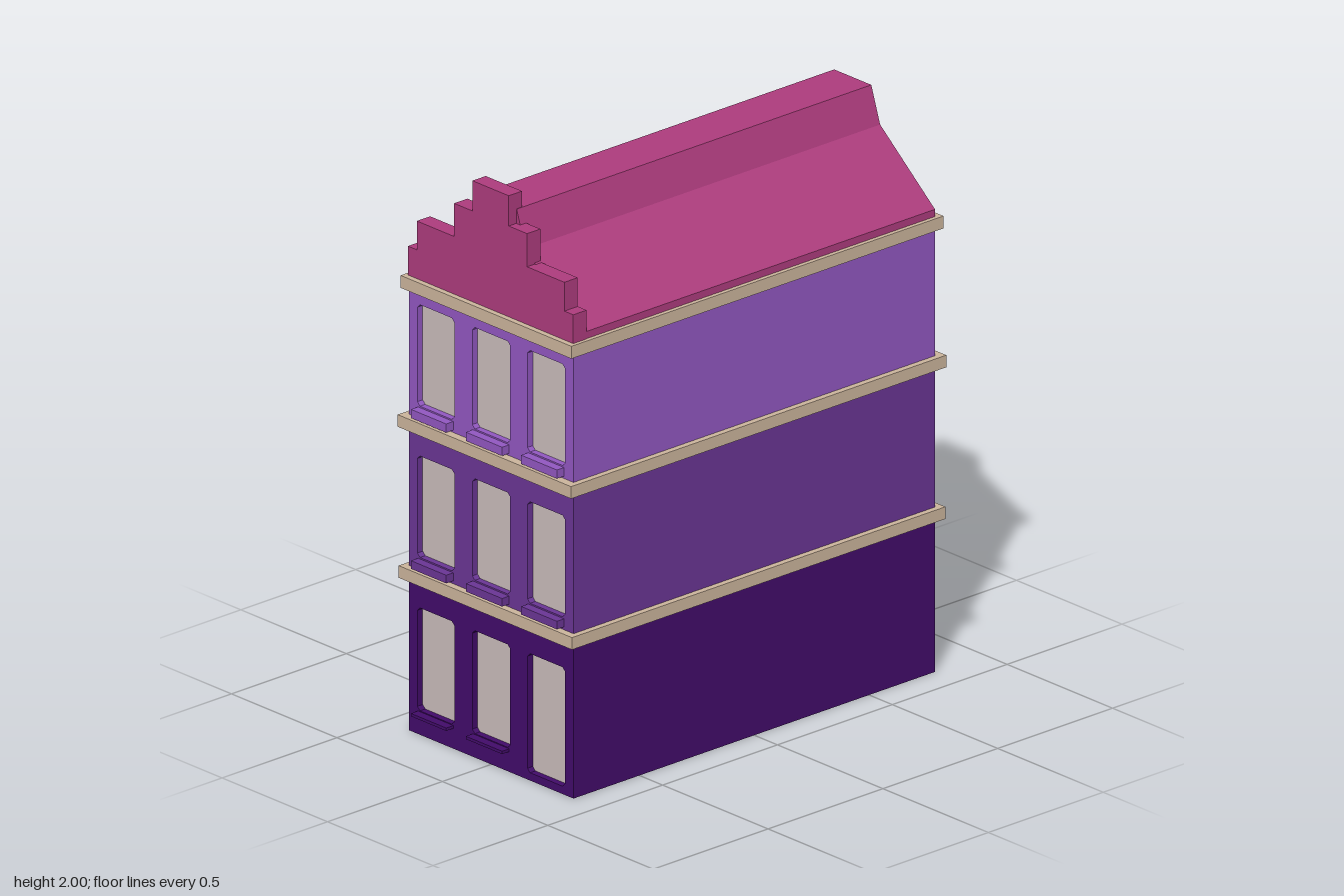
import * as THREE from 'three';

const W = 0.39, D = 0.787, WALL = 0.028;

const mat = (name, color) => {
  const m = new THREE.MeshStandardMaterial({ color });
  m.name = name;
  return m;
};

export function createModel() {
  const house = new THREE.Group();
  house.name = 'townhouse';
  const roofMat = mat('magenta roof', 0xad3c7d);
  const trimMat = mat('sand trim', 0xcbb49c);
  const paneMat = mat('pale glass', 0xc9bbba);

  const add = (parent, name, geo, material, x = 0, y = 0, z = 0) => {
    const m = new THREE.Mesh(geo, material);
    m.name = name;
    m.position.set(x, y, z);
    parent.add(m);
    return m;
  };
  const box = (parent, name, material, x0, x1, y0, y1, z0, z1) =>
    add(parent, name, new THREE.BoxGeometry(x1 - x0, y1 - y0, z1 - z0), material,
      (x0 + x1) / 2, (y0 + y1) / 2, (z0 + z1) / 2);
  const extrude = (shape, depth) =>
    new THREE.ExtrudeGeometry(shape, { depth, bevelEnabled: false });

  // window outline with small clipped corners
  const opening = (x0, x1, y0, y1, c = 0.012) => new THREE.Path([
    [x0 + c, y0], [x1 - c, y0], [x1, y0 + c], [x1, y1 - c],
    [x1 - c, y1], [x0 + c, y1], [x0, y1 - c], [x0, y0 + c],
  ].map(p => new THREE.Vector2(...p)));

  const columns = [[-0.35, -0.175], [-0.09, 0.09], [0.172, 0.35]];

  // wall slab pierced by three windows, with recessed panes
  const facade = (parent, name, material, y0, y1, wins) => {
    const g = new THREE.Group();
    g.name = name;
    const shape = new THREE.Shape([[-W, y0], [W, y0], [W, y1], [-W, y1]]
      .map(p => new THREE.Vector2(...p)));
    wins.forEach(([bottom, top], i) => {
      const [a, b] = columns[i];
      shape.holes.push(opening(a, b, bottom, top));
      box(g, 'windowPane', paneMat, a - 0.005, b + 0.005, bottom - 0.005, top + 0.005,
        D - WALL - 0.002, D - WALL + 0.005);
    });
    add(g, 'facadeWall', extrude(shape, WALL), material, 0, 0, D - WALL);
    parent.add(g);
    return g;
  };

  // three storeys: wall span, window span, sill span
  const storeys = [
    { name: 'groundFloor', m: mat('deep violet wall', 0x420b6a), y: [0, 0.55], win: [0.083, 0.44], sill: [0.07, 0.08], door: true },
    { name: 'middleFloor', m: mat('purple wall', 0x6a3594), y: [0.55, 1.075], win: [0.615, 0.967], sill: [0.582, 0.61] },
    { name: 'upperFloor', m: mat('lilac wall', 0x9157c0), y: [1.075, 1.56], win: [1.14, 1.492], sill: [1.105, 1.135] },
  ];
  for (const s of storeys) {
    const g = new THREE.Group();
    g.name = s.name;
    box(g, 'sideWalls', s.m, -W, W, s.y[0], s.y[1], -D + WALL, D - WALL);
    const wins = [s.win, s.win, s.win];
    facade(g, 'backFacade', s.m, ...s.y, wins).rotation.y = Math.PI;
    facade(g, 'frontFacade', s.m, ...s.y,
      s.door ? [s.win, s.win, [0.027, s.win[1]]] : wins);
    columns.forEach(([a, b], i) => {
      if (s.door && i === 2) return;
      box(g, 'windowSill', s.m, a + 0.003, b - 0.005, ...s.sill, D - 0.01, 0.818);
    });
    house.add(g);
  }

  // cornice bands around the whole building
  for (const [y0, y1, x, z] of [[0.53, 0.572, 0.411, 0.813], [1.055, 1.097, 0.411, 0.817], [1.537, 1.58, 0.405, 0.81]])
    box(house, 'corniceBand', trimMat, -x, x, y0, y1, -z, z);

  // symmetrical outline from its right half
  const mirrored = half => new THREE.Shape([
    ...half.map(([x, y]) => new THREE.Vector2(x, y)),
    ...half.slice().reverse().map(([x, y]) => new THREE.Vector2(-x, y)),
  ]);

  // bell-shaped roof running front to back
  add(house, 'roof', extrude(mirrored(
    [[W, 1.56], [W, 1.605], [0.13, 1.82], [0.088, 1.945]]), 2 * D - 0.03), roofMat, 0, 0, -D);

  // stepped front gable
  add(house, 'steppedGable', extrude(mirrored([
    [W + 0.002, 1.56], [W + 0.002, 1.68], [0.35, 1.68], [0.35, 1.78], [0.173, 1.78],
    [0.173, 1.895], [0.086, 1.895], [0.086, 2]]), 0.058), roofMat, 0, 0, 0.732);

  return house;
}
